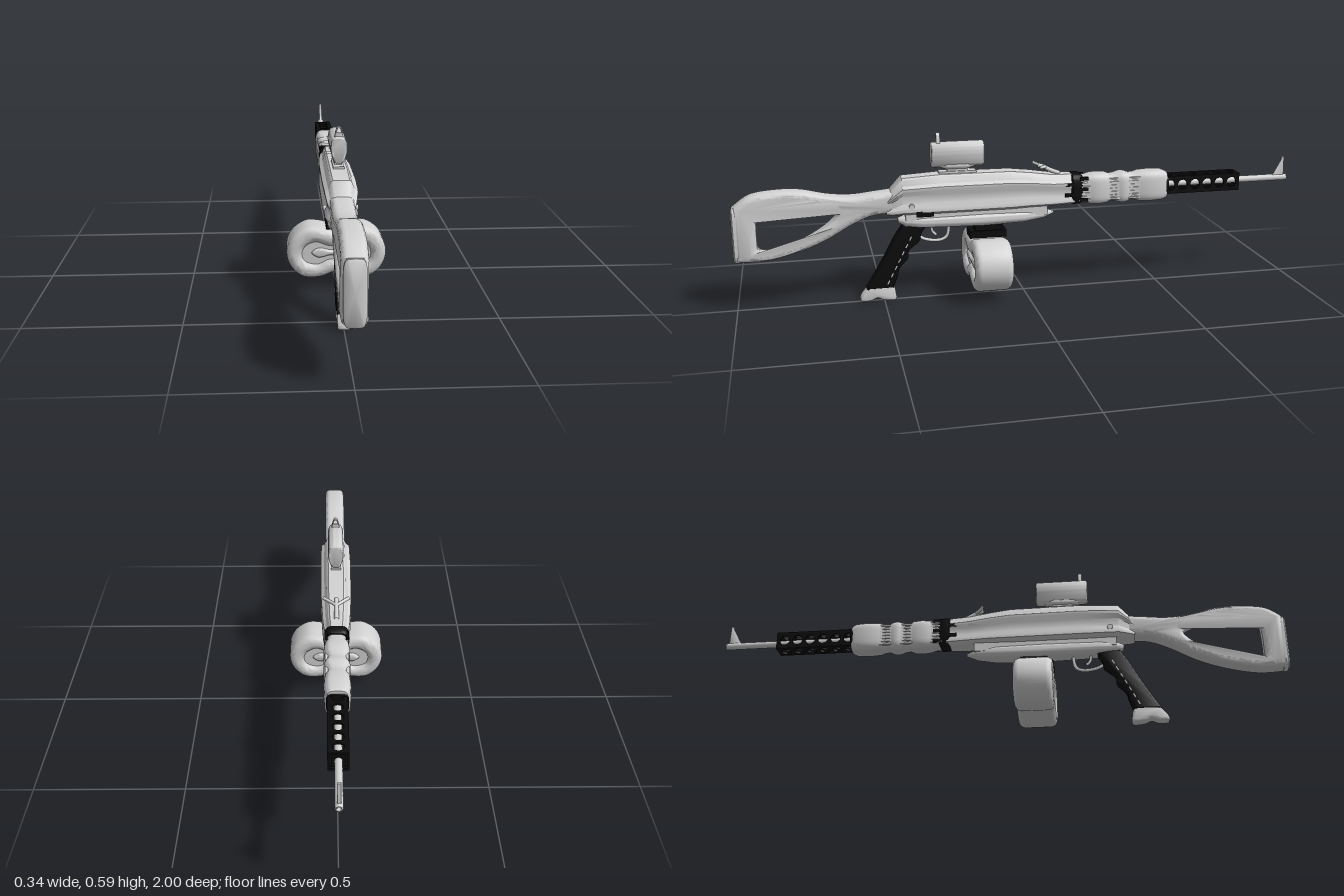
import * as THREE from 'three';
import { toCreasedNormals } from 'three/addons/utils/BufferGeometryUtils.js';

const V = (p) => p.map(([a, b]) => new THREE.Vector2(a, b));

export function createModel() {
  const root = new THREE.Group();
  const mat = (name, color) => {
    const m = new THREE.MeshStandardMaterial({ color });
    m.name = name;
    return m;
  };
  const grey = mat('light grey', 0xd2d2d2);
  const black = mat('black', 0x0b0b0b);

  const add = (name, geo, material, x = 0, y = 0, z = 0) => {
    const m = new THREE.Mesh(geo, material);
    m.name = name;
    m.position.set(x, y, z);
    root.add(m);
    return m;
  };
  const box = (name, w, h, d, material, x, y, z) => add(name, new THREE.BoxGeometry(w, h, d), material, x, y, z);

  // extrusion centred on its depth, with the bevel kept inside the outline
  const extrude = (shape, depth, bevel = 0.01, crease = 0.6) => {
    const g = new THREE.ExtrudeGeometry(shape, {
      depth: depth - 2 * bevel, bevelEnabled: bevel > 0, bevelThickness: bevel, bevelSize: bevel,
      bevelOffset: -bevel, bevelSegments: 4, curveSegments: 20,
    });
    g.translate(0, 0, -(depth - 2 * bevel) / 2);
    return toCreasedNormals(g, crease);
  };
  // side outline drawn in (z, y), thickness along x
  const sideExtrude = (shape, depth, bevel, crease) => extrude(shape, depth, bevel, crease).rotateY(-Math.PI / 2);

  const closed = (pts, n = 48) => new THREE.SplineCurve(V([...pts, pts[0]])).getPoints(n);

  // skin a profile through stations [z, centreY, halfWidth, halfHeight], z decreasing
  const loft = (profile, stations, crease = 0.7) => {
    const pos = [], idx = [], n = profile.length;
    for (const [z, y, w, h] of stations) for (const [px, py] of profile) pos.push(px * w, y + py * h, z);
    for (let i = 0; i < stations.length - 1; i++) {
      for (let j = 0; j < n; j++) {
        const a = i * n + j, b = i * n + (j + 1) % n, c = a + n, d = b + n;
        idx.push(a, c, b, b, c, d);
      }
    }
    const last = stations.length - 1, c0 = pos.length / 3;
    pos.push(0, stations[0][1], stations[0][0], 0, stations[last][1], stations[last][0]);
    for (let j = 0; j < n; j++) {
      const k = (j + 1) % n;
      idx.push(c0, j, k, c0 + 1, last * n + k, last * n + j);
    }
    const g = new THREE.BufferGeometry();
    g.setAttribute('position', new THREE.Float32BufferAttribute(pos, 3));
    g.setIndex(idx);
    return toCreasedNormals(g, crease);
  };
  // superellipse profile: power below 1 gives a rounded rectangle
  const oval = (power, n = 32) => Array.from({ length: n }, (_, i) => {
    const t = (i / n) * Math.PI * 2, c = Math.cos(t), s = Math.sin(t);
    return [Math.sign(c) * Math.abs(c) ** power, Math.sign(s) * Math.abs(s) ** power];
  });

  // stock with its thumb opening
  const stock = new THREE.Shape();
  stock.moveTo(0.99, 0.18);
  stock.lineTo(0.99, 0.37);
  stock.splineThru(V([[0.935, 0.405], [0.85, 0.416], [0.77, 0.413], [0.68, 0.393], [0.6, 0.386], [0.52, 0.393], [0.45, 0.4]]));
  stock.lineTo(0.45, 0.32);
  stock.splineThru(V([[0.53, 0.315], [0.6, 0.288], [0.7, 0.234], [0.8, 0.198], [0.9, 0.178], [0.99, 0.18]]));
  stock.holes.push(new THREE.Path(closed([[0.915, 0.368], [0.81, 0.387], [0.72, 0.367], [0.652, 0.335], [0.69, 0.285],
    [0.79, 0.23], [0.905, 0.207], [0.92, 0.26]])));
  add('stock', sideExtrude(stock, 0.076, 0.02, 0.8), grey);
  add('buttPlate', loft(oval(0.4), [[1, 0.272, 0.027, 0.09], [0.995, 0.272, 0.033, 0.097], [0.98, 0.272, 0.033, 0.097]]), grey);

  // receiver with bulging side rails
  const half = [[0.7, -1], [1, -0.85], [1, -0.65], [0.84, -0.4], [0.84, 0.05], [1, 0.3], [1, 0.46], [0.78, 0.6], [0.62, 0.92], [0.5, 1]];
  const receiverProfile = [...half, ...half.map(([x, y]) => [-x, y]).reverse()];
  add('receiver', loft(receiverProfile, [[0.485, 0.345, 0.036, 0.03], [0.465, 0.358, 0.046, 0.045], [0.43, 0.378, 0.053, 0.063],
    [0.3, 0.381, 0.055, 0.067], [0.05, 0.38, 0.053, 0.066], [-0.02, 0.377, 0.05, 0.061], [-0.1, 0.371, 0.046, 0.055],
    [-0.18, 0.37, 0.038, 0.053]], 0.5), grey);
  box('receiverFloor', 0.066, 0.04, 0.5, grey, 0, 0.305, 0.17);
  add('lowerFairing', loft(oval(0.75), [[0.445, 0.288, 0.012, 0.008], [0.42, 0.285, 0.03, 0.018], [0.36, 0.282, 0.039, 0.023],
    [0.15, 0.28, 0.042, 0.026], [0, 0.281, 0.04, 0.023], [-0.07, 0.283, 0.028, 0.015], [-0.11, 0.285, 0.006, 0.004]]), grey);
  box('selector', 0.008, 0.02, 0.06, black, 0.05, 0.318, 0.355);
  const knob = new THREE.CylinderGeometry(0.01, 0.01, 0.012, 16).rotateZ(Math.PI / 2);
  for (const s of [-1, 1]) add('sidePin', knob, grey, s * 0.05, 0.345, 0.4);

  // pistol grip with a finger-waved front and a two-toed foot
  const grip = new THREE.Shape();
  grip.moveTo(0.43, 0.27);
  grip.splineThru(V([[0.46, 0.225], [0.495, 0.16], [0.53, 0.1], [0.562, 0.048]]));
  grip.lineTo(0.468, 0.048);
  grip.splineThru(V([[0.452, 0.09], [0.443, 0.12], [0.415, 0.15], [0.41, 0.18], [0.375, 0.21], [0.365, 0.24], [0.345, 0.27]]));
  add('grip', sideExtrude(grip, 0.045, 0.007), black);
  const foot = closed([[0.555, 0.055], [0.58, 0.025], [0.582, 0.005], [0.55, 0.003], [0.525, 0.012], [0.5, 0.003], [0.462, 0.002],
    [0.46, 0.025], [0.475, 0.055]]);
  add('gripFoot', sideExtrude(new THREE.Shape(foot), 0.042, 0.01, 0.8), grey);
  for (let i = 0; i < 7; i++) {
    const t = i / 6;
    const dash = box('gripSeam', 0.047, 0.015, 0.004, grey, 0, 0.225 - 0.155 * t, 0.405 + 0.08 * t);
    dash.rotation.x = -0.5;
  }

  // trigger and guard
  const guardPath = new THREE.CatmullRomCurve3([[0.265, 0.275], [0.275, 0.22], [0.295, 0.208], [0.34, 0.21], [0.372, 0.225], [0.385, 0.25]]
    .map(([z, y]) => new THREE.Vector3(0, y, z)));
  add('triggerGuard', new THREE.TubeGeometry(guardPath, 30, 0.006, 8), grey);
  const triggerPath = new THREE.CatmullRomCurve3([[0.33, 0.265], [0.325, 0.24], [0.312, 0.226]].map(([z, y]) => new THREE.Vector3(0, y, z)));
  add('trigger', new THREE.TubeGeometry(triggerPath, 10, 0.005, 8), grey);

  // twin drum magazine with dumbbell-shaped recesses on both faces
  const mirrored = (pts) => [...pts, ...pts.map(([x, y]) => [-x, y]).reverse()];
  const drum = new THREE.Shape(closed(mirrored([[0.012, 0.058], [0.06, 0.042], [0.115, 0.045], [0.155, 0.08], [0.17, 0.13], [0.152, 0.182],
    [0.105, 0.217], [0.055, 0.217], [0.012, 0.204]]), 80));
  const recess = closed(mirrored([[0.025, 0.105], [0.065, 0.088], [0.105, 0.098], [0.117, 0.125], [0.105, 0.152], [0.07, 0.166], [0.025, 0.152]]), 60);
  drum.holes.push(new THREE.Path(recess));
  add('drumMagazine', extrude(drum, 0.135, 0.022, 0.9), grey, 0, 0, 0.133);
  add('drumCore', extrude(new THREE.Shape(closed(mirrored([[0.02, 0.08], [0.07, 0.07], [0.13, 0.09], [0.13, 0.16], [0.07, 0.18],
    [0.02, 0.17]]))), 0.1, 0), grey, 0, 0, 0.133);
  const bar = new THREE.Shape(closed(mirrored([[0.02, 0.12], [0.06, 0.112], [0.085, 0.128], [0.06, 0.145], [0.02, 0.138]])));
  add('drumRib', extrude(bar, 0.12, 0.008, 0.9), grey, 0, 0, 0.133);
  box('magazineCollar', 0.07, 0.025, 0.13, black, 0, 0.226, 0.133);
  box('magazineNeck', 0.05, 0.04, 0.095, black, 0, 0.25, 0.13);

  // optical sight: open egg-shaped tube, mount and top loop
  const sightShape = new THREE.Shape(closed(mirrored([[0.008, 0.47], [0.017, 0.478], [0.026, 0.505], [0.027, 0.53], [0.02, 0.55], [0.008, 0.556]]), 50));
  sightShape.holes.push(new THREE.Path(closed(mirrored([[0.008, 0.502], [0.017, 0.506], [0.018, 0.53], [0.01, 0.538]]), 30)));
  add('sightBody', extrude(sightShape, 0.185, 0.007, 0.8), grey, 0, 0, 0.233);
  box('sightLens', 0.038, 0.042, 0.008, grey, 0, 0.52, 0.233);
  add('sightBelly', loft(oval(0.7), [[0.295, 0.478, 0.012, 0.01], [0.27, 0.474, 0.018, 0.014], [0.2, 0.474, 0.018, 0.014],
    [0.175, 0.478, 0.012, 0.01]]), grey);
  box('sightMount', 0.026, 0.03, 0.07, grey, 0, 0.458, 0.235);
  box('sightRail', 0.036, 0.01, 0.13, grey, 0, 0.45, 0.235);
  const loop = new THREE.Shape();
  loop.moveTo(-0.015, 0.55);
  loop.lineTo(0.015, 0.55);
  loop.splineThru(V([[0.01, 0.575], [0.004, 0.588], [-0.004, 0.588], [-0.01, 0.575], [-0.015, 0.55]]));
  loop.holes.push(new THREE.Path(closed([[-0.007, 0.568], [0.007, 0.568], [0.003, 0.582], [-0.003, 0.582]], 16)));
  add('sightLoop', extrude(loop, 0.014, 0.002), grey, 0, 0, 0.3);

  // forked charging lever on top
  const rod = (name, pts, r) => add(name, new THREE.TubeGeometry(
    new THREE.CatmullRomCurve3(pts.map((p) => new THREE.Vector3(...p))), 16, r, 8), grey);
  rod('leverStem', [[0, 0.425, -0.13], [0, 0.437, -0.1], [0, 0.452, -0.07], [0, 0.458, -0.05]], 0.008);
  for (const s of [-1, 1]) rod('leverArm', [[0, 0.45, -0.08], [s * 0.02, 0.453, -0.062], [s * 0.044, 0.458, -0.045]], 0.006);

  // black ragged collar between receiver and handguard
  const soft = oval(0.5);
  add('collar', loft(soft, [[-0.168, 0.369, 0.036, 0.053], [-0.172, 0.369, 0.041, 0.056], [-0.2, 0.369, 0.041, 0.056],
    [-0.208, 0.369, 0.036, 0.05]]), black);
  for (const s of [-1, 1]) {
    for (let i = 0; i < 5; i++) box('collarTooth', 0.01, 0.012, 0.03, black, s * 0.036, 0.332 + i * 0.019, i % 2 ? -0.158 : -0.212);
  }

  // bulging handguard with ribbed waists
  const guard = [[-0.2, 0.365, 0.034, 0.049]];
  for (const [a, b] of [[-0.235, -0.305], [-0.342, -0.38], [-0.418, -0.515]]) {
    guard.push([a + 0.01, 0.365, 0.034, 0.05], [a - 0.006, 0.365, 0.041, 0.054], [(a + b) / 2, 0.365, 0.044, 0.056],
      [b + 0.006, 0.365, 0.041, 0.054], [b - 0.01, 0.365, 0.034, 0.048]);
  }
  add('handguard', loft(soft, guard, 0.8), grey);
  for (const z of [-0.216, -0.324, -0.4]) {
    for (let i = 0; i < 7; i++) box('handguardRib', 0.077, 0.006, 0.042, grey, 0, 0.329 + i * 0.012, z);
  }

  // square vented shroud made of four pierced plates
  const plate = new THREE.Shape(V([[-0.145, -0.031], [0.145, -0.031], [0.145, 0.031], [-0.145, 0.031]]));
  for (let i = 0; i < 6; i++) {
    const hole = new THREE.Path();
    hole.absellipse(-0.115 + i * 0.047, 0, 0.018, 0.018, 0, Math.PI * 2);
    plate.holes.push(hole);
  }
  for (let k = 0; k < 4; k++) {
    const g = sideExtrude(plate, 0.007, 0).translate(0.0285, 0, 0).rotateZ(k * Math.PI / 2);
    add('shroudPlate', g, black, 0, 0.365, -0.657);
  }
  add('shroudCollar', loft(soft, [[-0.505, 0.365, 0.038, 0.045], [-0.53, 0.365, 0.035, 0.036]]), black);
  const ring = new THREE.RingGeometry(0.011, 0.03, 4, 1, Math.PI / 4);
  const cap = mat('black end', 0x0b0b0b);
  cap.side = THREE.DoubleSide;
  add('shroudEnd', ring, cap, 0, 0.365, -0.798);

  // barrel with a hollow muzzle and a front blade
  const barrel = new THREE.LatheGeometry(V([[0.006, 0.46], [0.006, 0.5], [0.011, 0.5], [0.012, 0.49], [0.012, 0]]), 24);
  barrel.rotateX(-Math.PI / 2);
  const barrelMat = mat('grey barrel', 0xd2d2d2);
  barrelMat.side = THREE.DoubleSide;
  add('barrel', barrel, barrelMat, 0, 0.365, -0.5);
  add('muzzlePlug', new THREE.CircleGeometry(0.007, 16).rotateY(Math.PI), black, 0, 0.365, -0.965);
  const blade = new THREE.Shape();
  blade.moveTo(-0.94, 0.37);
  blade.splineThru(V([[-0.965, 0.385], [-0.976, 0.41], [-0.98, 0.443]]));
  blade.lineTo(-0.988, 0.443);
  blade.lineTo(-0.99, 0.37);
  add('frontSight', sideExtrude(blade, 0.012, 0.002), grey);

  return root;
}
